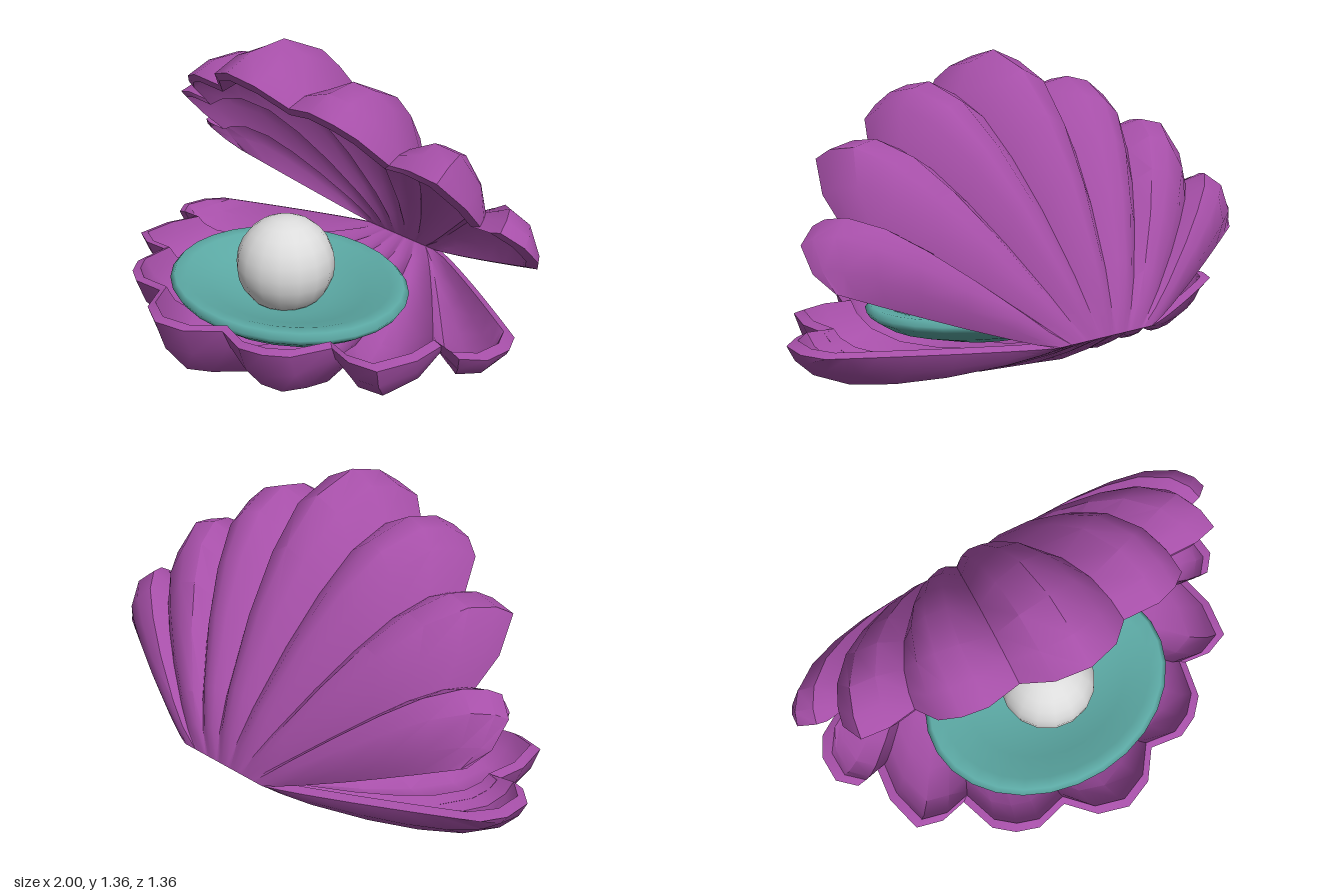
import * as THREE from 'three';
import { toCreasedNormals } from 'three/addons/utils/BufferGeometryUtils.js';

const HINGE_Y = 0.34, HINGE_Z = -0.68, HINGE_HALF = 0.23;

// Half of the scalloped rim, centre to side: [x, z, depth of the rib]
const halfRim = [
  [0, 0.68, 0.34], [0.13, 0.635, 0.305], [0.228, 0.52, 0.21],
  [0.37, 0.548, 0.28], [0.465, 0.51, 0.285], [0.54, 0.44, 0.25], [0.585, 0.28, 0.155],
  [0.7, 0.3, 0.215], [0.81, 0.265, 0.215], [0.845, 0.1, 0.17], [0.825, -0.045, 0.1],
  [0.93, -0.027, 0.155], [1.0, -0.1, 0.14], [1.0, -0.22, 0.08], [0.95, -0.31, 0],
];

// Depth profile from hinge to rim: [distance, depth fraction]
const profile = [
  [0, 0], [0.08, 0.23], [0.19, 0.47], [0.4, 0.79], [0.59, 0.97],
  [0.76, 1], [0.9, 0.76], [0.97, 0.38], [1, 0],
];

// One ribbed, hollow valve; side = -1 bulges down, +1 bulges up
function valveGeometry(side) {
  const last = halfRim.length - 1;
  const columns = [];
  for (let i = -last; i <= last; i++) {
    const [x, z, depth] = halfRim[Math.abs(i)];
    columns.push([Math.sign(i) * x, z, depth, (i / last) * HINGE_HALF]);
  }
  const m = columns.length - 1, n = profile.length - 1;
  const positions = [], index = [];

  // outer skin, then inner skin
  for (const inner of [false, true]) {
    for (const [rx, rz, depth, hx] of columns) {
      for (const [t, d] of profile) {
        let x = THREE.MathUtils.lerp(hx, rx, Math.pow(t, 0.9));
        let z = THREE.MathUtils.lerp(HINGE_Z, rz, t);
        let drop = depth * d;
        if (inner) {
          x *= 0.955;
          z = THREE.MathUtils.lerp(z, -0.05, 0.05);
          drop = drop * 0.88 - 0.012;
        }
        positions.push(x, side * drop, z - HINGE_Z);
      }
    }
  }
  const out = (i, j) => i * (n + 1) + j;
  const inn = (i, j) => (m + 1) * (n + 1) + out(i, j);
  const quad = (a, b, c, d) => {
    if (side < 0) index.push(a, b, c, a, c, d);
    else index.push(a, c, b, a, d, c);
  };
  for (let i = 0; i < m; i++) {
    for (let j = 0; j < n; j++) {
      quad(out(i, j), out(i + 1, j), out(i + 1, j + 1), out(i, j + 1));
      quad(inn(i, j), inn(i, j + 1), inn(i + 1, j + 1), inn(i + 1, j));
    }
    // front rim and hinge edge
    quad(out(i, n), out(i + 1, n), inn(i + 1, n), inn(i, n));
    quad(out(i + 1, 0), out(i, 0), inn(i, 0), inn(i + 1, 0));
  }
  // side rims
  for (let j = 0; j < n; j++) {
    quad(out(m, j + 1), out(m, j), inn(m, j), inn(m, j + 1));
    quad(out(0, j), out(0, j + 1), inn(0, j + 1), inn(0, j));
  }
  const geometry = new THREE.BufferGeometry();
  geometry.setAttribute('position', new THREE.Float32BufferAttribute(positions, 3));
  geometry.setIndex(index);
  return toCreasedNormals(geometry, 0.7);
}

export function createModel() {
  const model = new THREE.Group();
  model.name = 'clamWithPearl';

  const material = (name, color) => {
    const mat = new THREE.MeshStandardMaterial({ color });
    mat.name = name;
    return mat;
  };
  const purple = material('shellPurple', 0xa64fa8);
  const teal = material('fleshTeal', 0x5caaa5);
  const white = material('pearlWhite', 0xdcdcdc);

  const add = (name, geometry, mat, x, y, z) => {
    const mesh = new THREE.Mesh(geometry, mat);
    mesh.name = name;
    mesh.position.set(x, y, z);
    model.add(mesh);
    return mesh;
  };

  // Two valves sharing the hinge, the upper one swung open
  add('lowerShell', valveGeometry(-1), purple, 0, HINGE_Y, HINGE_Z);
  const upper = add('upperShell', valveGeometry(1), purple, 0, HINGE_Y, HINGE_Z);
  upper.rotation.x = -THREE.MathUtils.degToRad(43);

  // Dished soft body, tilted slightly forward
  const dish = [
    [0, -0.17], [0.5, -0.14], [0.85, -0.08], [0.97, -0.035], [1, -0.01],
    [0.96, 0.012], [0.86, 0.008], [0.65, -0.035], [0.35, -0.085], [0, -0.1],
  ].map(([r, y]) => new THREE.Vector2(r, y));
  const flesh = new THREE.LatheGeometry(dish, 28);
  flesh.scale(0.57, 1, 0.46);
  add('softBody', flesh, teal, 0, 0.343, 0.03).rotation.x = 0.045;

  // Pearl
  add('pearl', new THREE.SphereGeometry(0.21, 16, 12), white, 0, 0.41, 0.035);

  return model;
}
